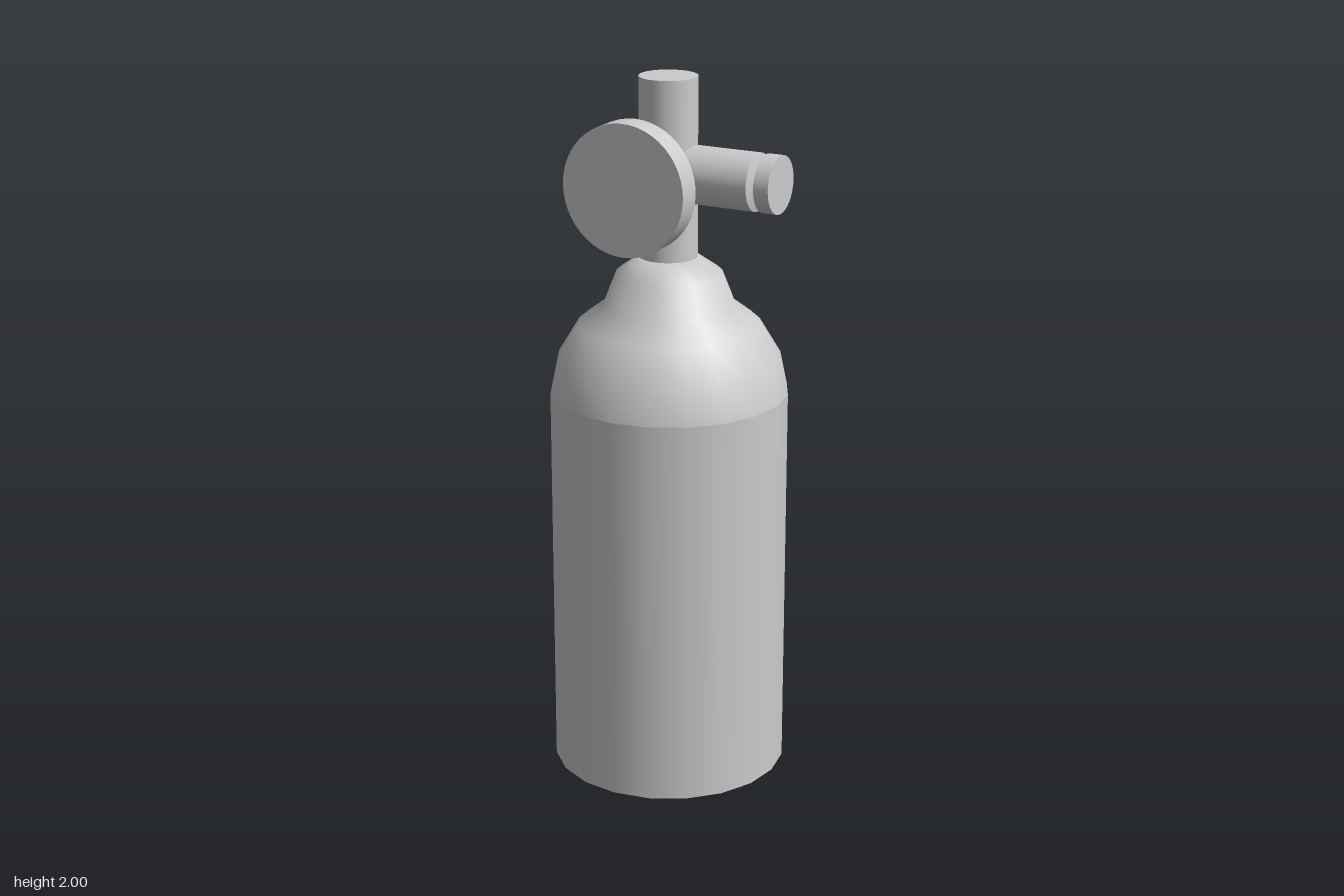
import * as THREE from 'three';

const material = new THREE.MeshStandardMaterial({ color: 0xcccccc });

export function createModel() {
  const model = new THREE.Group();
  model.name = 'gasCylinder';

  const add = (name, geometry, x, y, z, parent = model) => {
    const mesh = new THREE.Mesh(geometry, material);
    mesh.name = name;
    mesh.position.set(x, y, z);
    parent.add(mesh);
    return mesh;
  };

  // Tank: straight wall with a flat base
  add('tankBody', new THREE.CylinderGeometry(0.335, 0.335, 1.115, 20), 0, 0.5575, 0);

  // Rounded shoulder flowing into the neck collar
  const profile = [
    [0.335, 1.115], [0.315, 1.21], [0.255, 1.31], [0.183, 1.365],
    [0.148, 1.455], [0.083, 1.5], [0, 1.5],
  ].map(([r, y]) => new THREE.Vector2(r, y));
  add('tankShoulder', new THREE.LatheGeometry(profile, 20), 0, 0, 0);

  // Valve stem
  add('valveStem', new THREE.CylinderGeometry(0.081, 0.081, 0.51, 32), -0.003, 1.745, 0);

  // Outlet pointing to +x, built along its own y axis: [name, start, end, start radius, end radius]
  const outlet = new THREE.Group();
  outlet.name = 'outlet';
  outlet.position.set(0, 1.737, 0);
  outlet.rotation.z = -Math.PI / 2;
  model.add(outlet);
  const sections = [
    ['outletPipe', 0, 0.27, 0.08, 0.08],
    ['grooveInner', 0.27, 0.28, 0.08, 0.04],
    ['grooveOuter', 0.28, 0.292, 0.04, 0.08],
    ['outletCap', 0.292, 0.335, 0.08, 0.08],
  ];
  for (const [name, start, end, r0, r1] of sections) {
    const open = name.startsWith('groove');
    add(name, new THREE.CylinderGeometry(r1, r0, end - start, 32, 1, open), 0, (start + end) / 2, 0, outlet);
  }

  // Round gauge on the front of the stem
  const gauge = add('gauge', new THREE.CylinderGeometry(0.184, 0.184, 0.073, 48), -0.062, 1.707, 0.1165);
  gauge.rotation.x = Math.PI / 2;

  return model;
}
